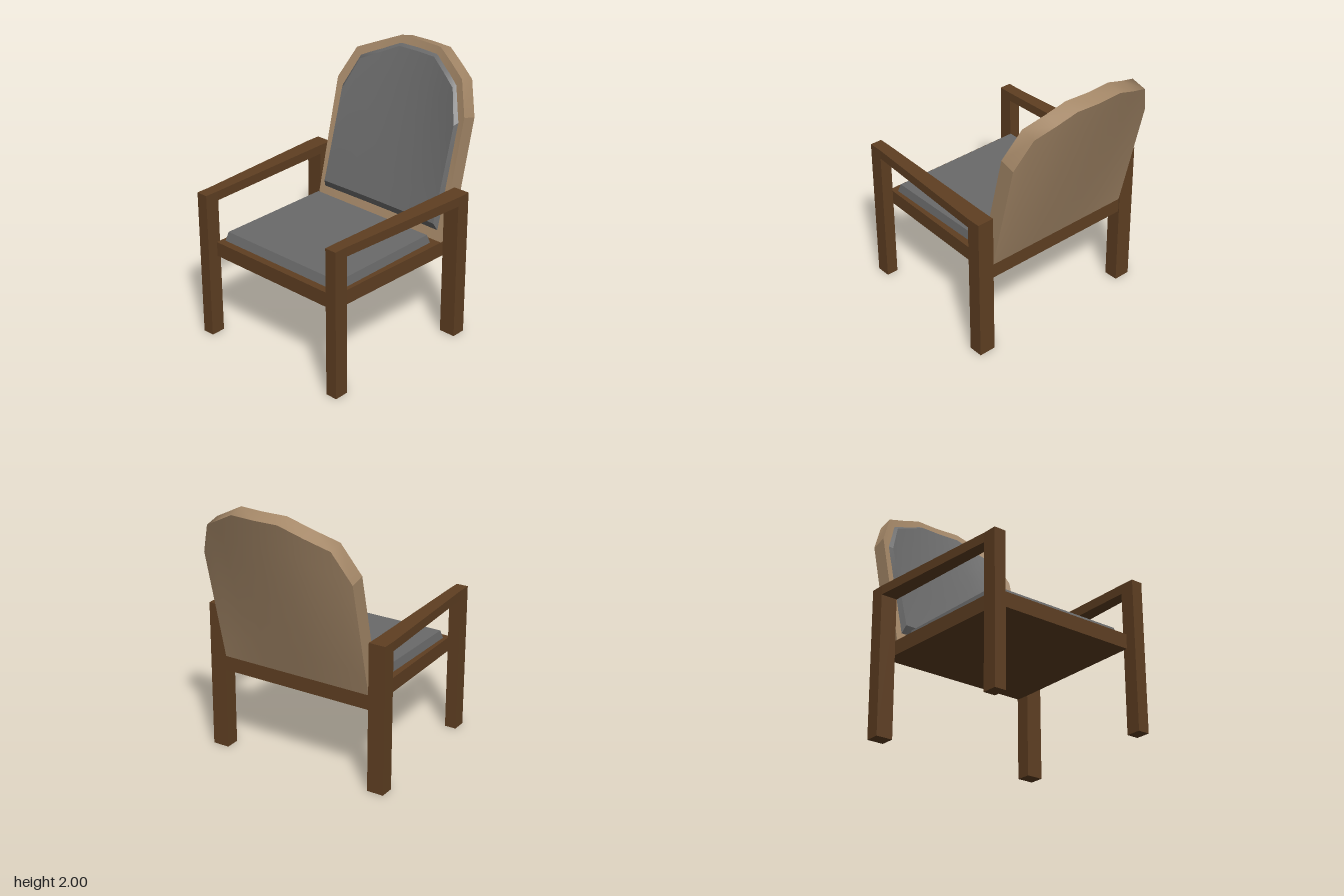
import * as THREE from 'three';

const wood = new THREE.MeshStandardMaterial({ color: 0x5f3f22 });
wood.name = 'brownWood';
const shellTan = new THREE.MeshStandardMaterial({ color: 0xa58868 });
shellTan.name = 'tanShell';
const fabric = new THREE.MeshStandardMaterial({ color: 0x6a6a6a });
fabric.name = 'greyFabric';

const lerp = THREE.MathUtils.lerp;

// Reshape a unit box: rule(u, v, w) takes 0..1 coordinates and returns [x, y, z]
function shapedBox(name, material, rule, rows = 1, columns = 1) {
  const geometry = new THREE.BoxGeometry(1, 1, 1, 1, rows, columns);
  const p = geometry.attributes.position;
  for (let i = 0; i < p.count; i++) {
    p.setXYZ(i, ...rule(p.getX(i) + 0.5, p.getY(i) + 0.5, p.getZ(i) + 0.5));
  }
  geometry.computeVertexNormals();
  const mesh = new THREE.Mesh(geometry, material);
  mesh.name = name;
  return mesh;
}

// Bar along x whose z range changes from z0 to z1
const bar = (name, x, y, z0, z1) => shapedBox(name, wood, (u, v, w) => [
  lerp(x[0], x[1], u),
  lerp(y[0], y[1], v),
  lerp(lerp(z0[0], z0[1], w), lerp(z1[0], z1[1], w), u),
]);

// Upper outline of the backrest as [z, y]
const BOTTOM = 0.73;
const OUTLINE = [[-0.6, 1.62], [-0.49, 1.855], [-0.32, 1.9275], [-0.15, 2], [0.035, 2],
  [0.22, 2], [0.36, 1.9275], [0.5, 1.855], [0.6, 1.62]];

// Leaning front face of the backrest, with sides wrapping forward towards the top
const faceX = (y, z) => 0.31 + (0.33 - 0.24 * z * z) * (y - BOTTOM);

// Curved panel between a front and a back layer, each { inset, drop, bottom, offset }
function backPanel(name, material, front, back) {
  const last = OUTLINE.length - 1;
  return shapedBox(name, material, (u, v, w) => {
    const layer = u < 0.5 ? front : back;
    const [oz, oy] = OUTLINE[Math.round(w * last)];
    const z = oz * (1 - layer.inset / 0.6);
    const y = lerp(layer.bottom, oy - layer.drop, v);
    return [faceX(y, z) + layer.offset(y), y, z];
  }, 6, last);
}

export function createModel() {
  const chair = new THREE.Group();
  chair.name = 'armchair';

  // Side frames: two legs and a widening armrest
  for (const side of [1, -1]) {
    const span = (a, b) => (side > 0 ? [a, b] : [-b, -a]);
    const frontZ = span(0.572, 0.662);
    const backZ = span(0.602, 0.73);
    const frame = new THREE.Group();
    frame.name = side > 0 ? 'leftSideFrame' : 'rightSideFrame';
    frame.add(
      bar('frontLeg', [-0.845, -0.735], [0, 1.12], frontZ, frontZ),
      bar('backLeg', [0.33, 0.44], [0, 1.12], backZ, backZ),
      bar('armrest', [-0.735, 0.33], [1.05, 1.12], frontZ, backZ),
    );
    chair.add(frame);
  }

  // Seat base, wider at the back
  chair.add(bar('seatBase', [-0.765, 0.433], [0.62, 0.73], [-0.572, 0.572], [-0.605, 0.605]));

  // Seat cushion with sloping edges
  chair.add(shapedBox('seatCushion', fabric, (u, v, w) => {
    const inset = 0.025 * v;
    return [
      lerp(-0.71 + inset, 0.26 - inset, u),
      lerp(0.725, 0.795, v),
      lerp(-0.545 + inset * 0.5, 0.545 - inset * 0.5, w),
    ];
  }));

  // Backrest shell and its padded front
  chair.add(backPanel('backrestShell', shellTan,
    { inset: 0, drop: 0, bottom: BOTTOM, offset: () => 0 },
    { inset: 0, drop: 0.03, bottom: BOTTOM, offset: () => 0.123 }));
  chair.add(backPanel('backrestCushion', fabric,
    { inset: 0.068, drop: 0.07, bottom: 0.86, offset: (y) => -0.043 + 0.02 * (y - 0.86) },
    { inset: 0.045, drop: 0.045, bottom: 0.79, offset: () => 0.01 }));

  return chair;
}
